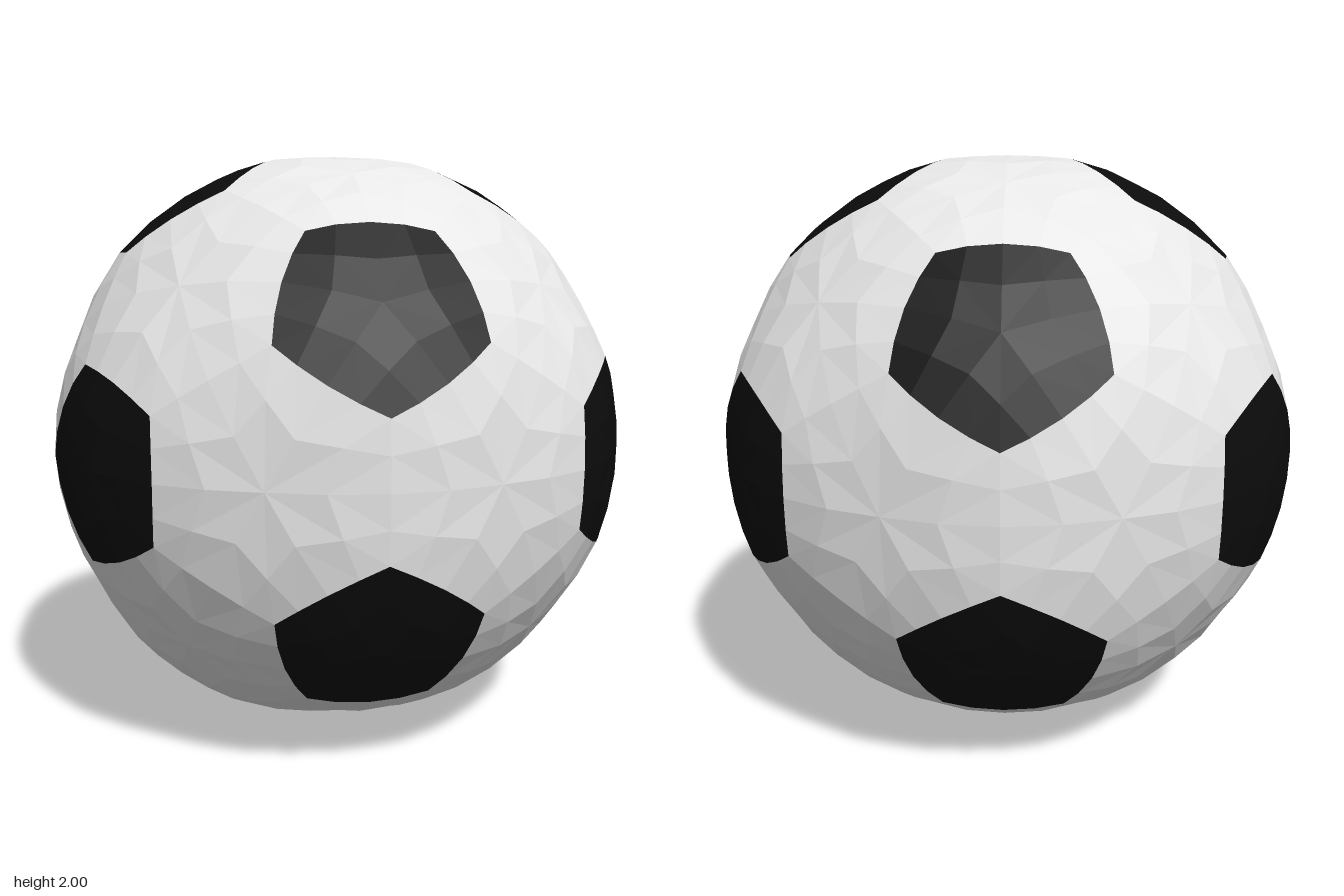
import * as THREE from 'three';

const CORNER_ANGLE = THREE.MathUtils.degToRad(19.5); // pentagon centre to corner
const CORNER_R = 1.0116, SEAM_R = 1.0, PENT_R = 1.01, HEX_R = 0.988;
const BULGE = 0.019; // outward bow of the pentagon sides

// Mean direction of some points, at their mean distance from the centre
function blend(...pts) {
  const v = new THREE.Vector3();
  let r = 0;
  for (const p of pts) { v.add(p); r += p.length() / pts.length; }
  return v.setLength(r);
}

// Panel corner on pentagon a, on the line towards pentagon b
function corner(a, b) {
  const t = b.clone().addScaledVector(a, -a.dot(b)).normalize();
  return a.clone().multiplyScalar(Math.cos(CORNER_ANGLE))
    .addScaledVector(t, Math.sin(CORNER_ANGLE)).multiplyScalar(CORNER_R);
}

// Points at 1/4, 1/2 and 3/4 of a side; pent is the pentagon it borders, or null
function side(a, b, pent) {
  return [0.25, 0.5, 0.75].map((t) => {
    const p = a.clone().lerp(b, t).normalize();
    const w = 4 * t * (1 - t);
    if (pent) {
      const out = p.clone().addScaledVector(pent, -p.dot(pent)).normalize();
      return p.addScaledVector(out, w * BULGE).setLength(CORNER_R);
    }
    return p.setLength(CORNER_R + (SEAM_R - CORNER_R) * w);
  });
}

// Panel split into one kite per corner, each kite into four facets
function addPanel(out, corners, pents, centre) {
  const n = corners.length;
  const sides = corners.map((c, i) => side(c, corners[(i + 1) % n], pents[i]));
  const quad = (a, b, c, d) => {
    for (const p of [a, b, c, a, c, d]) out.push(p.x, p.y, p.z);
  };
  corners.forEach((v, i) => {
    const [q1, m1] = sides[i];
    const [, m0, q0] = sides[(i + n - 1) % n];
    const s0 = blend(m0, centre), s1 = blend(m1, centre);
    const k = blend(v, centre, m0, m1);
    quad(v, q1, k, q0);
    quad(q1, m1, s1, k);
    quad(k, s1, centre, s0);
    quad(q0, k, s0, m0);
  });
}

function panelMesh(name, positions, material) {
  const g = new THREE.BufferGeometry();
  g.setAttribute('position', new THREE.Float32BufferAttribute(positions, 3));
  g.computeVertexNormals();
  const mesh = new THREE.Mesh(g, material);
  mesh.name = name;
  return mesh;
}

export function createModel() {
  const white = new THREE.MeshStandardMaterial({ color: 0xe7e7e7, flatShading: true });
  white.name = 'white';
  const black = new THREE.MeshStandardMaterial({ color: 0x0c0c0c, flatShading: true });
  black.name = 'black';

  // Pentagon centres lie on the corners of an icosahedron
  const ico = new THREE.IcosahedronGeometry(1, 0).getAttribute('position');
  const tips = [];
  const tri = [];
  for (let i = 0; i < ico.count; i++) {
    const p = new THREE.Vector3().fromBufferAttribute(ico, i).normalize();
    let found = tips.find((q) => q.distanceTo(p) < 0.01);
    if (!found) tips.push(found = p);
    tri.push(found);
  }

  // Black pentagons, neighbours sorted counter-clockwise
  const pentagons = [];
  for (const p of tips) {
    const near = tips.filter((q) => q !== p && q.dot(p) > 0.3);
    const u = near[0].clone().addScaledVector(p, -p.dot(near[0])).normalize();
    const w = p.clone().cross(u);
    near.sort((a, b) => Math.atan2(a.dot(w), a.dot(u)) - Math.atan2(b.dot(w), b.dot(u)));
    addPanel(pentagons, near.map((q) => corner(p, q)), near.map(() => p),
      p.clone().multiplyScalar(PENT_R));
  }

  // White hexagons, one per icosahedron face
  const hexagons = [];
  for (let i = 0; i < tri.length; i += 3) {
    const [a, b, c] = tri.slice(i, i + 3);
    addPanel(hexagons,
      [corner(a, b), corner(b, a), corner(b, c), corner(c, b), corner(c, a), corner(a, c)],
      [null, b, null, c, null, a],
      blend(a, b, c).setLength(HEX_R));
  }

  const ball = new THREE.Group();
  ball.name = 'ball';
  ball.add(panelMesh('hexagonPanels', hexagons, white), panelMesh('pentagonPanels', pentagons, black));
  ball.position.y = 1;
  const model = new THREE.Group();
  model.name = 'footballModel';
  model.add(ball);
  return model;
}
